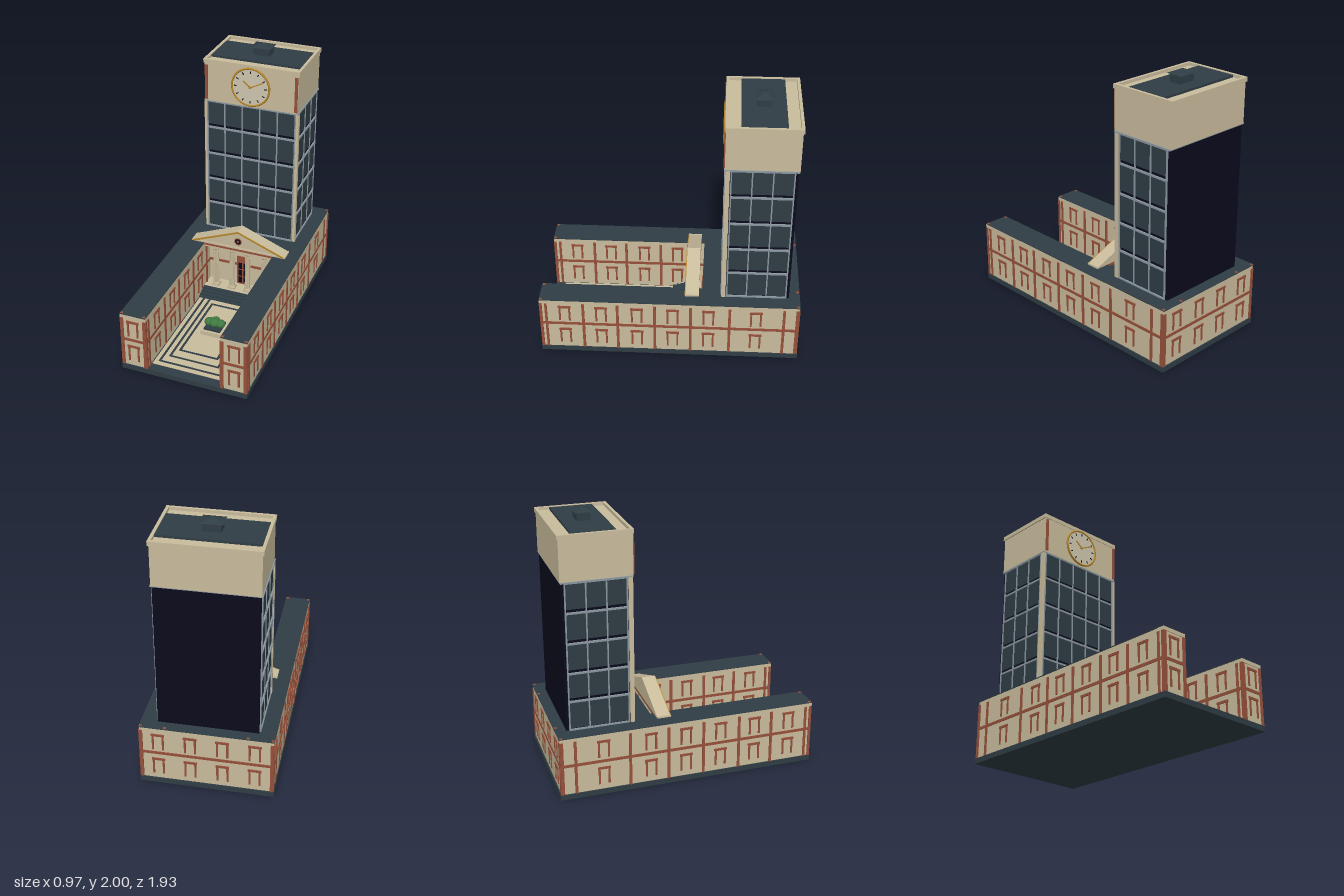
import * as THREE from 'three';

const mat = (name, color) => {
  const m = new THREE.MeshStandardMaterial({ color });
  m.name = name;
  return m;
};

export function createModel() {
  const cream = mat('cream stone', 0xc9bc9c), slate = mat('dark slate', 0x2f3d44);
  const rust = mat('rust brick', 0x96503a), navy = mat('navy', 0x0a0a1c);
  const silver = mat('silver frame', 0x8a969e), gold = mat('gold', 0xb5862a);
  const green = mat('leaf green', 0x3f7a42), dial = mat('clock dial', 0xcfc6ae);

  const model = new THREE.Group();
  model.name = 'clockTowerBuilding';
  const add = (parent, name, geo, material, x = 0, y = 0, z = 0) => {
    const m = new THREE.Mesh(geo, material);
    m.name = name;
    m.position.set(x, y, z);
    parent.add(m);
    return m;
  };
  // Box given by its minimum and maximum corners
  const box = (parent, name, material, x0, x1, y0, y1, z0, z1) =>
    add(parent, name, new THREE.BoxGeometry(x1 - x0, y1 - y0, z1 - z0), material,
      (x0 + x1) / 2, (y0 + y1) / 2, (z0 + z1) / 2);
  const group = (name, x = 0, y = 0, z = 0, turn = 0) => {
    const g = new THREE.Group();
    g.name = name;
    g.position.set(x, y, z);
    g.rotation.y = turn;
    model.add(g);
    return g;
  };

  // Base and U-shaped building
  box(model, 'base', slate, -0.483, 0.483, 0, 0.04, -0.965, 0.965);
  for (const s of [-1, 1]) {
    const a = s * 0.285, b = s * 0.477;
    box(model, 'wing', cream, Math.min(a, b), Math.max(a, b), 0.04, 0.478, -0.24, 0.956);
    const c = s * 0.283, d = s * 0.481;
    box(model, 'wingRoof', slate, Math.min(c, d), Math.max(c, d), 0.478, 0.483, -0.24, 0.962);
    box(model, 'wingCornice', cream, Math.min(c, d), Math.max(c, d), 0.452, 0.478, 0.9, 0.962);
  }
  box(model, 'backBlock', cream, -0.477, 0.477, 0.04, 0.478, -0.956, -0.24);
  box(model, 'backRoof', slate, -0.481, 0.481, 0.478, 0.483, -0.962, -0.24);
  for (const x of [-0.469, -0.296, 0.296, 0.469]) for (const z of [-0.947, 0.947])
    box(model, 'pilasterCap', rust, x - 0.01, x + 0.01, 0.48, 0.485, z - 0.01, z + 0.01);

  // Brick trim of one wall: local x runs along the wall, local z points outwards
  const trimWall = (name, pos, turn, from, to, pilasters, windows) => {
    const g = group(name, pos[0], 0, pos[1], turn);
    box(g, 'band', rust, from, to, 0.255, 0.276, -0.004, 0.005);
    for (const [p, w] of pilasters)
      box(g, 'pilaster', rust, p - w / 2, p + w / 2, 0.04, 0.452, -0.004, 0.007);
    for (const w of windows) for (const y of [0.083, 0.295]) {
      box(g, 'windowHead', rust, w - 0.048, w + 0.048, y + 0.118, y + 0.135, -0.004, 0.008);
      for (const s of [-1, 1])
        box(g, 'windowJamb', rust, w + s * 0.036 - 0.007, w + s * 0.036 + 0.007, y, y + 0.12, -0.004, 0.006);
    }
  };
  const sidePil = [[0.95, 0.018], [0.913, 0.018], [0.637, 0.02], [0.382, 0.02], [0.106, 0.02],
    [-0.16, 0.02], [-0.448, 0.02], [-0.848, 0.02], [-0.945, 0.022]];
  const sideWin = [0.775, 0.504, 0.239, -0.027, -0.292, -0.642];
  const courtPil = sidePil.slice(0, 6), courtWin = sideWin.slice(0, 4);
  for (const s of [-1, 1]) {
    const flip = (l) => l.map(([p, w]) => [-s * p, w]), flipW = (l) => l.map((p) => -s * p);
    trimWall('outerWallTrim', [s * 0.477, 0], s * Math.PI / 2, -0.956, 0.956, flip(sidePil), flipW(sideWin));
    const ends = [0.24 * s, -0.956 * s].sort((a, b) => a - b);
    trimWall('courtWallTrim', [s * 0.285, 0], -s * Math.PI / 2, -ends[1], -ends[0],
      flip(courtPil).map(([p, w]) => [-p, w]), courtWin.map((p) => s * p));
    trimWall('wingFrontTrim', [s * 0.382, 0.956], 0, -0.097, 0.097,
      [[-0.086, 0.022], [0.086, 0.022]], [0.003 * s]);
  }
  trimWall('backWallTrim', [0, -0.956], Math.PI, -0.477, 0.477,
    [[-0.466, 0.022], [0.466, 0.022]], [-0.345, -0.115, 0.115, 0.345]);
  trimWall('entranceWallTrim', [0, -0.24], 0, -0.285, 0.285, [], []);

  // Courtyard paving with inlaid stripes
  box(model, 'courtFloor', cream, -0.275, 0.275, 0.04, 0.045, 0.008, 0.89);
  const inlay = (half, z0, z1, closed, w = 0.016) => {
    for (const s of [-1, 1])
      box(model, 'inlayStripe', slate, s * half - w / 2, s * half + w / 2, 0.043, 0.048, z0, z1);
    box(model, 'inlayStripe', slate, -half, half, 0.043, 0.0478, z1 - w, z1);
    if (closed) box(model, 'inlayStripe', slate, -half, half, 0.043, 0.0478, z0, z0 + w);
  };
  inlay(0.236, 0.008, 0.855, false);
  inlay(0.188, 0.008, 0.777, false);
  inlay(0.147, 0.055, 0.69, true);

  // Planter with shrubs
  box(model, 'planter', cream, -0.085, 0.085, 0.04, 0.08, 0.278, 0.45);
  box(model, 'planterBed', slate, -0.065, 0.065, 0.08, 0.095, 0.3, 0.43);
  for (const [x, y, z, r] of [[-0.045, 0.115, 0.362, 0.038], [0.045, 0.115, 0.362, 0.038],
    [0, 0.12, 0.37, 0.042], [0, 0.125, 0.345, 0.034]])
    add(model, 'shrub', new THREE.SphereGeometry(r, 14, 10), green, x, y, z).scale.y = 0.8;

  // Entrance steps, platform and door
  for (let i = 0; i < 4; i++)
    box(model, 'step', slate, -0.284, 0.284, 0.04, 0.051 + i * 0.011, -0.115, 0.008 - i * 0.03);
  box(model, 'platform', cream, -0.284, 0.284, 0.04, 0.086, -0.24, -0.112);
  box(model, 'doorFrame', rust, -0.05, 0.05, 0.086, 0.342, -0.24, -0.23);
  for (const s of [-1, 1]) for (const [y0, y1] of [[0.1, 0.155], [0.165, 0.22], [0.23, 0.285]])
    box(model, 'doorPane', navy, s * 0.022 - 0.015, s * 0.022 + 0.015, y0, y1, -0.231, -0.228);

  // Fluted columns
  const shaft = new THREE.CylinderGeometry(0.019, 0.022, 0.33, 32).toNonIndexed();
  const sp = shaft.attributes.position;
  for (let i = 0; i < sp.count; i++) {
    const a = Math.atan2(sp.getZ(i), sp.getX(i)), k = 1 + 0.06 * Math.cos(16 * a);
    sp.setX(i, sp.getX(i) * k);
    sp.setZ(i, sp.getZ(i) * k);
  }
  shaft.computeVertexNormals();
  for (const x of [-0.2, -0.066, 0.066, 0.2]) {
    const g = group('column', x, 0, -0.163);
    add(g, 'shaft', shaft, cream, 0, 0.27, 0);
    box(g, 'plinth', cream, -0.03, 0.03, 0.086, 0.1, -0.03, 0.03);
    add(g, 'columnBase', new THREE.CylinderGeometry(0.024, 0.028, 0.015, 20), cream, 0, 0.107, 0);
    add(g, 'capital', new THREE.CylinderGeometry(0.03, 0.019, 0.02, 20), cream, 0, 0.428, 0);
    box(g, 'abacus', cream, -0.034, 0.034, 0.436, 0.452, -0.034, 0.034);
  }

  // Entablature and pediment
  box(model, 'entablature', cream, -0.284, 0.284, 0.452, 0.467, -0.215, -0.122);
  box(model, 'entablatureBand', rust, -0.284, 0.284, 0.467, 0.485, -0.217, -0.116);
  box(model, 'pedimentSill', cream, -0.385, 0.385, 0.485, 0.497, -0.217, -0.115);
  const extrude = (pts, depth) => new THREE.ExtrudeGeometry(
    new THREE.Shape(pts.map(([x, y]) => new THREE.Vector2(x, y))), { depth, bevelEnabled: false });
  add(model, 'pediment', extrude([[-0.36, 0.49], [0.36, 0.49], [0, 0.632]], 0.092), cream, 0, 0, -0.217);
  const rake = [[-0.385, 0.492], [-0.34, 0.492], [0, 0.626], [0.34, 0.492], [0.385, 0.492], [0, 0.645]];
  add(model, 'rakingCornice', extrude(rake, 0.1), cream, 0, 0, -0.217);
  const edge = [[-0.385, 0.492], [-0.348, 0.492], [0, 0.63], [0.348, 0.492], [0.385, 0.492], [0, 0.643]];
  add(model, 'gildedEdge', extrude(edge, 0.006), gold, 0, 0, -0.117);
  const disc = (parent, name, r, d, m, x, y, z) => {
    add(parent, name, new THREE.CylinderGeometry(r, r, d, 48), m, x, y, z).rotation.x = Math.PI / 2;
  };
  disc(model, 'medallion', 0.027, 0.008, navy, 0, 0.553, -0.122);
  add(model, 'medallionRing', new THREE.TorusGeometry(0.027, 0.004, 8, 32), rust, 0, 0.553, -0.119);
  disc(model, 'medallionBoss', 0.01, 0.004, rust, 0, 0.553, -0.117);

  // Tower core with glazed walls
  box(model, 'towerCore', navy, -0.36, 0.36, 0.483, 1.585, -0.88, -0.388);
  const bars = [0.487, 0.705, 0.918, 1.14, 1.363, 1.58];
  const glaze = (name, pos, turn, half, cols) => {
    const g = group(name, pos[0], 0, pos[1], turn);
    for (let r = 0; r < 5; r++)
      box(g, 'glass', slate, -half, half, bars[r] + (r ? 0.027 : 0.012), bars[r + 1], -0.005, 0.004);
    for (const y of bars)
      box(g, 'transom', silver, -half, half, y - 0.007, y + 0.007, -0.005, 0.012);
    for (let c = 0; c <= cols; c++) {
      const x = -half + 2 * half * c / cols;
      box(g, 'mullion', silver, x - 0.005, x + 0.005, 0.483, 1.585, -0.005, 0.01);
    }
  };
  glaze('frontGlazing', [0, -0.388], 0, 0.348, 5);
  for (const s of [-1, 1]) {
    glaze('sideGlazing', [s * 0.36, -0.638], s * Math.PI / 2, 0.217, 3);
    const a = s * 0.348, b = s * 0.374;
    box(model, 'cornerPier', cream, Math.min(a, b), Math.max(a, b), 0.483, 1.585, -0.412, -0.38);
    box(model, 'cornerBrick', rust, s * 0.352 - 0.011, s * 0.352 + 0.011, 1.598, 1.872, -0.38, -0.366);
  }

  // Clock storey, parapet and roof
  box(model, 'clockStorey', cream, -0.366, 0.366, 1.585, 1.895, -0.888, -0.375);
  box(model, 'storeyEdge', silver, -0.374, 0.374, 1.578, 1.588, -0.885, -0.377);
  for (const s of [-1, 1]) {
    box(model, 'parapetSide', cream, s * 0.364 - 0.011, s * 0.364 + 0.011, 1.885, 1.917, -0.897, -0.37);
    const z = s > 0 ? -0.381 : -0.886;
    box(model, 'parapetEnd', cream, -0.353, 0.353, 1.885, 1.917, z - 0.011, z + 0.011);
  }
  box(model, 'towerRoof', slate, -0.353, 0.353, 1.89, 1.912, -0.79, -0.478);
  box(model, 'roofVent', slate, -0.065, 0.065, 1.905, 1.972, -0.687, -0.588);
  const cap = new THREE.ConeGeometry(Math.SQRT1_2, 0.028, 4).toNonIndexed();
  cap.rotateY(Math.PI / 4).scale(0.16, 1, 0.13).computeVertexNormals();
  add(model, 'ventRoof', cap, slate, 0, 1.986, -0.637);

  // Clock with hour marks and hands
  const clock = group('clock', 0, 1.745, -0.375);
  disc(clock, 'clockFace', 0.145, 0.012, dial, 0, 0, 0.004);
  add(clock, 'clockRim', new THREE.TorusGeometry(0.146, 0.008, 10, 64), gold, 0, 0, 0.008);
  const radial = (name, m, angle, r0, r1, w, z) => {
    const geo = new THREE.BoxGeometry(w, r1 - r0, 0.003).translate(0, (r0 + r1) / 2, 0);
    add(clock, name, geo, m, 0, 0, z).rotation.z = -angle;
  };
  for (let h = 0; h < 12; h++) radial('hourMark', navy, h * Math.PI / 6, 0.108, 0.128, 0.007, 0.011);
  radial('hourHand', gold, -0.9, -0.01, 0.075, 0.011, 0.013);
  radial('minuteHand', gold, 1.1, -0.015, 0.115, 0.008, 0.015);
  disc(clock, 'clockHub', 0.009, 0.008, gold, 0, 0, 0.014);

  return model;
}
